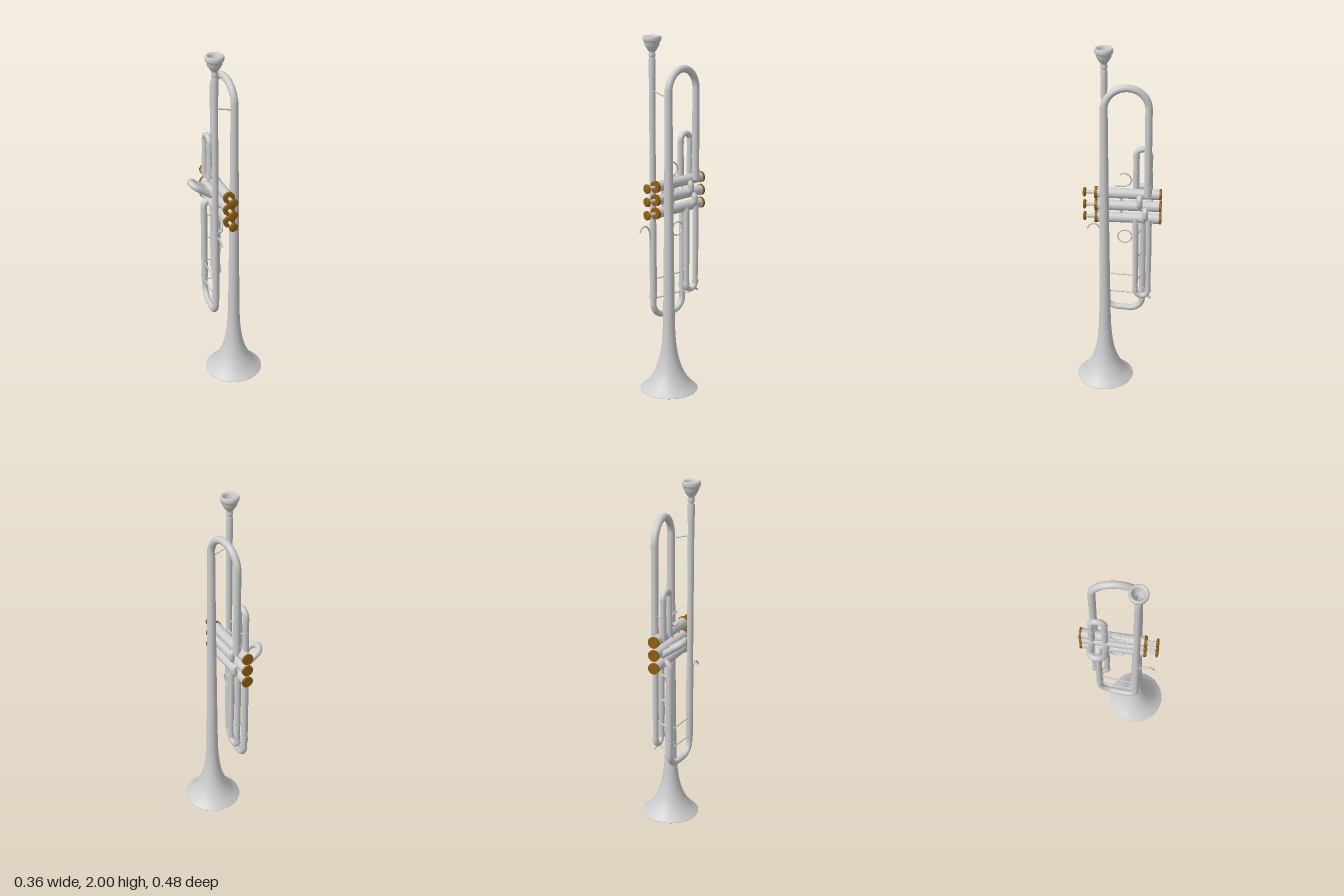
import * as THREE from 'three';

const silver = new THREE.MeshStandardMaterial({ color: 0xcccccc, side: THREE.DoubleSide });
const brass = new THREE.MeshStandardMaterial({ color: 0x8f600f });
const V = (x, y, z) => new THREE.Vector3(x, y, z);

// Straight runs joined by circular-looking corners of radius r
function bentPath(points, r) {
  const path = new THREE.CurvePath();
  let from = points[0];
  for (let i = 1; i < points.length - 1; i++) {
    const p = points[i];
    const toward = (q) => q.clone().sub(p).normalize();
    const din = toward(points[i - 1]), dout = toward(points[i + 1]);
    const a = p.clone().addScaledVector(din, r), b = p.clone().addScaledVector(dout, r);
    if (from.distanceTo(a) > 1e-3) path.add(new THREE.LineCurve3(from, a));
    path.add(new THREE.CubicBezierCurve3(a, p.clone().addScaledVector(din, r * 0.448),
      p.clone().addScaledVector(dout, r * 0.448), b));
    from = b;
  }
  path.add(new THREE.LineCurve3(from, points[points.length - 1]));
  return path;
}

export function createModel() {
  const model = new THREE.Group();
  model.name = 'trumpet';

  const add = (name, geometry, material = silver, pos = [0, 0, 0], parent = model) => {
    const mesh = new THREE.Mesh(geometry, material);
    mesh.name = name;
    mesh.position.set(...pos);
    parent.add(mesh);
    return mesh;
  };
  const pipe = (name, points, corner, radius, segments = 140) =>
    add(name, new THREE.TubeGeometry(bentPath(points, corner), segments, radius, 18));
  const lathe = (name, profile, pos) =>
    add(name, new THREE.LatheGeometry(profile.map(([r, y]) => new THREE.Vector2(r, y)), 48), silver, pos);
  const rod = (name, a, b, radius = 0.004) =>
    add(name, new THREE.TubeGeometry(new THREE.LineCurve3(a, b), 1, radius, 10));
  const ferrule = (name, x, y, z, r, h = 0.03) =>
    add(name, new THREE.CylinderGeometry(r, r, h, 24), silver, [x, y, z]);

  // Bell: flare running into a slowly tapering stem
  const flare = new THREE.SplineCurve([
    [0.165, 0.002], [0.125, 0.04], [0.09, 0.092], [0.066, 0.15], [0.05, 0.215], [0.039, 0.3],
    [0.034, 0.4], [0.031, 0.6], [0.027, 0.95], [0.024, 1.3], [0.021, 1.72],
  ].map(([r, y]) => new THREE.Vector2(r, y))).getPoints(80);
  lathe('bell', flare.map((p) => [p.x, p.y]), [0.012, 0, 0.073]);
  const rim = add('bellRim', new THREE.TorusGeometry(0.163, 0.002, 8, 64), silver, [0.012, 0.002, 0.073]);
  rim.rotation.x = Math.PI / 2;

  // Bell bow over the top and down into the first valve
  pipe('bellBow', [V(0.012, 1.69, 0.073), V(0.012, 1.82, 0.073), V(-0.012, 1.82, -0.165),
    V(-0.012, 1.185, -0.165)], 0.1195, 0.02, 180);
  ferrule('bellBowFerrule', -0.012, 1.225, -0.165, 0.022, 0.04);

  // Mouthpiece: outer wall, rim, then down inside the cup to the throat
  lathe('mouthpiece', [
    [0.013, 1.72], [0.014, 1.86], [0.014, 1.882], [0.019, 1.892], [0.019, 1.902], [0.015, 1.912],
    [0.021, 1.92], [0.034, 1.94], [0.041, 1.955], [0.042, 1.968], [0.048, 1.972], [0.05, 1.98],
    [0.05, 1.994], [0.046, 2], [0.039, 2], [0.032, 1.992], [0.029, 1.97], [0.021, 1.95],
    [0.011, 1.942], [0.008, 1.9],
  ], [-0.103, 0, 0.083]);
  lathe('mouthpieceReceiver', [[0.013, 1.88], [0.019, 1.875], [0.019, 1.78], [0.0165, 1.76], [0.0165, 1.7]],
    [-0.103, 0, 0.083]);

  // Leadpipe with the main tuning slide, rising into the third valve
  pipe('leadpipe', [V(-0.103, 1.86, 0.083), V(-0.103, 0.408, 0.083), V(-0.086, 0.408, -0.135),
    V(-0.086, 0.62, -0.135)], 0.075, 0.0175, 220);
  pipe('tuningSlideSleeve', [V(-0.086, 0.56, -0.135), V(-0.086, 1.04, -0.135), V(-0.04, 1.04, -0.135)], 0.035, 0.019);
  add('leadpipeSleeve', new THREE.CylinderGeometry(0.02, 0.02, 0.42, 24), silver, [-0.103, 0.75, 0.083]);
  ferrule('slideFerruleFront', -0.103, 0.53, 0.083, 0.021);
  ferrule('slideFerruleBack', -0.086, 0.55, -0.135, 0.021);

  // Three valves lying along z, with caps, stems and finger buttons
  for (let i = 0; i < 3; i++) {
    const valve = new THREE.Group();
    valve.name = 'valve' + (i + 1);
    valve.position.set(-0.04, 1.185 - i * 0.075, 0);
    model.add(valve);
    const disc = (name, r, z0, z1, mat) => {
      const m = add(name, new THREE.CylinderGeometry(r, r, z1 - z0, 32), mat, [0, 0, (z0 + z1) / 2], valve);
      m.rotation.x = Math.PI / 2;
    };
    disc('casing', 0.029, -0.23, 0.118, silver);
    disc('bottomCap', 0.032, -0.24, -0.228, brass);
    disc('topCap', 0.033, 0.115, 0.131, brass);
    disc('stem', 0.009, 0.125, 0.184, silver);
    const button = add('button', new THREE.LatheGeometry([[0, -0.008], [0.02, -0.008], [0.026, -0.003],
      [0.026, 0.003], [0.02, 0.008], [0, 0.008]].map(([r, y]) => new THREE.Vector2(r, y)), 32), brass, [0, 0, 0.188], valve);
    button.rotation.x = Math.PI / 2;
    // Small spacer rods between neighbouring casings
    if (i < 2) for (const z of [0.07, -0.015])
      add('spacer', new THREE.CylinderGeometry(0.007, 0.007, 0.03, 12), silver, [0, -0.0375, z], valve);
  }

  // Knuckle tubes linking the valves
  [[1.1475, -0.12], [1.0725, -0.152]].forEach(([y, z]) => {
    pipe('valveKnuckle', [V(-0.03, y + 0.027, z), V(-0.004, y + 0.027, z), V(-0.004, y - 0.027, z),
      V(-0.03, y - 0.027, z)], 0.02, 0.017, 40);
  });

  // First valve slide, pointing up
  pipe('firstSlide', [V(-0.063, 1.185, -0.17), V(-0.063, 1.446, -0.17), V(-0.063, 1.446, -0.097),
    V(-0.063, 1.185, -0.097)], 0.0364, 0.0165);
  for (const z of [-0.17, -0.097]) {
    ferrule('firstSlideSleeve', -0.063, 1.25, z, 0.0185, 0.14);
    ferrule('firstSlideFerrule', -0.063, 1.4, z, 0.0185, 0.02);
  }

  // Second valve slide, angled out to the side
  pipe('secondSlide', [V(-0.055, 1.093, -0.17), V(-0.164, 1.171, -0.17), V(-0.164, 1.171, -0.09),
    V(-0.055, 1.093, -0.09)], 0.0399, 0.0185);

  // Third valve slide, pointing down
  pipe('thirdSlide', [V(-0.018, 1.04, -0.172), V(-0.018, 0.54, -0.172), V(-0.018, 0.54, -0.099),
    V(-0.018, 1.04, -0.099)], 0.0364, 0.015, 180);
  for (const z of [-0.172, -0.099]) {
    ferrule('thirdSlideSleeve', -0.018, 0.86, z, 0.017, 0.32);
    ferrule('thirdSlideFerrule', -0.018, 0.58, z, 0.018, 0.02);
  }
  rod('waterKey', V(-0.018, 0.55, -0.16), V(-0.018, 0.525, -0.188), 0.007);

  // Finger ring on the third slide
  const ring = add('fingerRing', new THREE.TorusGeometry(0.039, 0.004, 10, 40), silver, [-0.03, 0.92, -0.037]);
  ring.rotation.y = Math.PI / 2;
  rod('ringFoot', V(-0.03, 0.92, -0.075), V(-0.02, 0.92, -0.095), 0.006);

  // Thumb saddle on the first slide
  const hook = (name, pts, r) => add(name,
    new THREE.TubeGeometry(new THREE.CatmullRomCurve3(pts.map((p) => V(...p))), 48, r, 10));
  hook('thumbSaddle', [[-0.063, 1.218, 0.02], [-0.063, 1.218, -0.03], [-0.063, 1.232, -0.06],
    [-0.063, 1.26, -0.07], [-0.063, 1.287, -0.055], [-0.063, 1.297, -0.03], [-0.063, 1.29, -0.005]], 0.0045);
  rod('saddleFoot', V(-0.063, 1.255, -0.07), V(-0.063, 1.255, -0.09), 0.006);

  // Little finger hook on the leadpipe
  hook('fingerHook', [[-0.105, 0.8, 0.1], [-0.105, 0.87, 0.103], [-0.105, 0.92, 0.11], [-0.105, 0.947, 0.13],
    [-0.105, 0.952, 0.152], [-0.105, 0.94, 0.173], [-0.105, 0.92, 0.184]], 0.005);

  // Braces
  rod('upperBrace', V(-0.1, 1.705, 0.082), V(0, 1.678, 0.075));
  rod('slideBraceUpper', V(-0.103, 0.63, 0.083), V(-0.086, 0.63, -0.135));
  rod('slideBraceLower', V(-0.103, 0.513, 0.083), V(-0.086, 0.513, -0.135));
  rod('lowerTieBrace', V(-0.086, 0.513, -0.135), V(-0.018, 0.52, -0.12));
  for (const y of [0.65, 0.8, 0.95])
    rod('thirdSlideBrace', V(-0.086, y, -0.135), V(-0.018, y, -0.11), 0.006);
  rod('firstSlideBrace', V(-0.063, 1.31, -0.17), V(-0.012, 1.31, -0.165), 0.006);
  rod('bellValveBrace', V(0.012, 1.11, 0.073), V(-0.04, 1.11, 0.05), 0.008);
  rod('leadpipeValveBrace', V(-0.103, 1.11, 0.083), V(-0.04, 1.11, 0.05), 0.008);

  return model;
}
